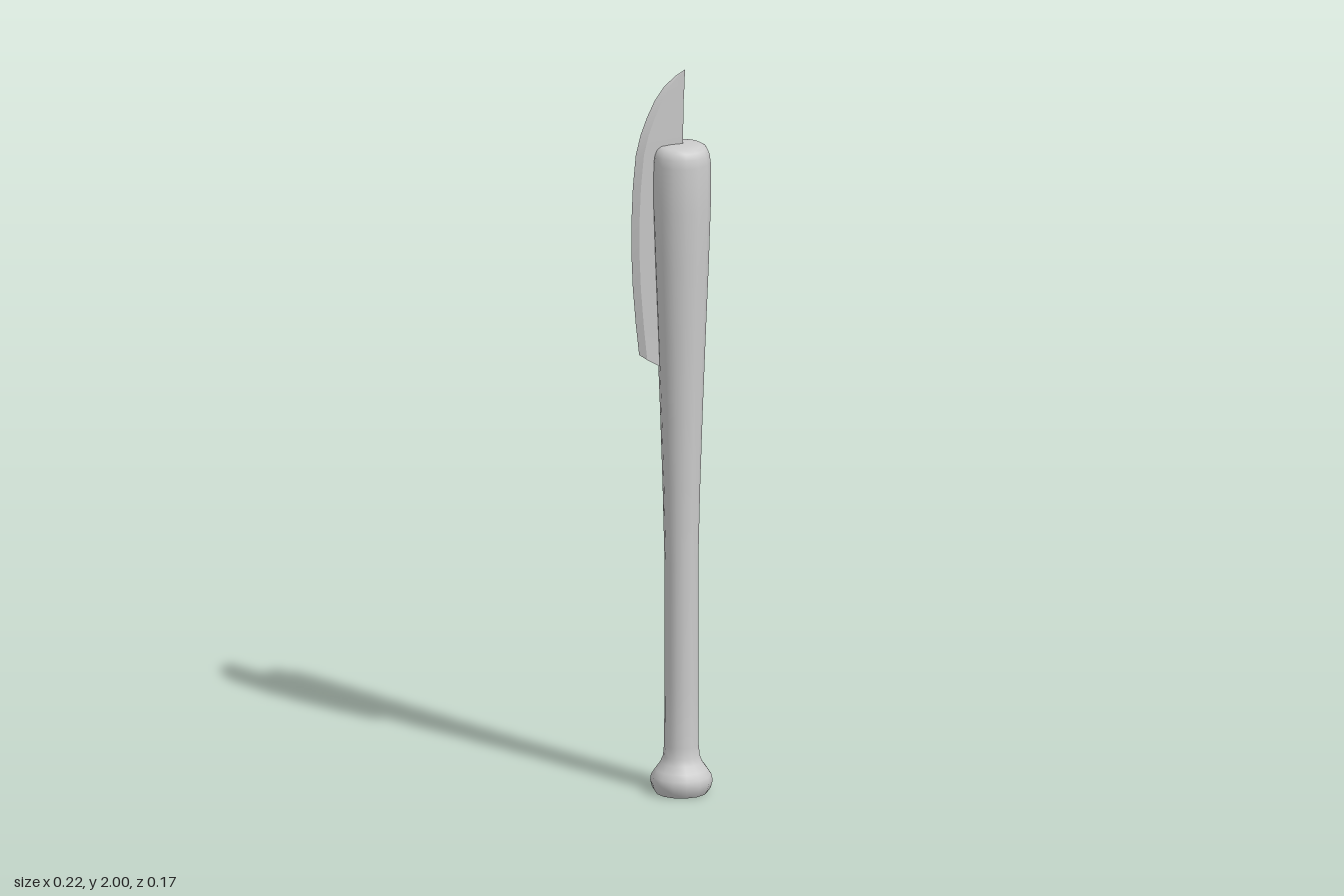
import * as THREE from 'three';
import { toCreasedNormals } from 'three/addons/utils/BufferGeometryUtils.js';

const material = new THREE.MeshStandardMaterial({ color: 0xcccccc });

// Turned wooden bat: knob, slim handle, barrel with rounded end.
function makeBat() {
  const profile = [
    [0, 0], [0.07, 0], [0.078, 0.012], [0.083, 0.03], [0.081, 0.047], [0.07, 0.064],
    [0.056, 0.083], [0.049, 0.1], [0.046, 0.13], [0.045, 0.3], [0.045, 0.64],
    [0.05, 0.85], [0.0565, 1.05], [0.064, 1.25], [0.073, 1.47], [0.078, 1.62],
    [0.078, 1.745], [0.075, 1.768], [0.068, 1.784], [0.056, 1.792], [0.03, 1.795], [0, 1.796],
  ].map(([r, y]) => new THREE.Vector2(r, y));
  const bat = new THREE.Mesh(toCreasedNormals(new THREE.LatheGeometry(profile, 14), 0.7), material);
  bat.name = 'bat';
  bat.position.x = 0.027;
  return bat;
}

// Curved blade: diamond-like sections with a sharp outer edge and a thin spine.
function makeBlade() {
  // edge x, edge y, spine x, spine y, half thickness
  const rows = [
    [-0.087, 1.215, 0.028, 1.146, 0.01],
    [-0.096, 1.3, 0.028, 1.27, 0.01],
    [-0.104, 1.4, 0.029, 1.4, 0.01],
    [-0.108, 1.5, 0.029, 1.5, 0.01],
    [-0.108, 1.58, 0.03, 1.58, 0.01],
    [-0.104, 1.68, 0.03, 1.68, 0.01],
    [-0.096, 1.77, 0.03, 1.77, 0.01],
    [-0.083, 1.825, 0.031, 1.825, 0.009],
    [-0.066, 1.872, 0.032, 1.872, 0.0075],
    [-0.045, 1.918, 0.033, 1.918, 0.0055],
    [-0.02, 1.955, 0.035, 1.955, 0.0035],
    [0.01, 1.983, 0.036, 1.983, 0.0018],
    [0.037, 2.0, 0.037, 2.0, 0],
  ];
  const positions = [];
  const index = [];
  for (const [ex, ey, sx, sy, t] of rows) {
    const inset = Math.min(0.02, (sx - ex) * 0.25);
    const k = sx > ex ? inset / (sx - ex) : 0;
    const rx = ex + inset;
    const ry = ey + (sy - ey) * k;
    const s = t * 0.3;
    positions.push(ex, ey, 0, rx, ry, t, sx, sy, s, sx, sy, -s, rx, ry, -t);
  }
  for (let i = 0; i < rows.length - 1; i++) {
    for (let j = 0; j < 5; j++) {
      const a = i * 5 + j;
      const b = i * 5 + (j + 1) % 5;
      index.push(a, b, b + 5, a, b + 5, a + 5);
    }
  }
  // Bottom cap
  for (let j = 1; j < 4; j++) index.push(0, j + 1, j);
  const geometry = new THREE.BufferGeometry();
  geometry.setAttribute('position', new THREE.Float32BufferAttribute(positions, 3));
  geometry.setIndex(index);
  const blade = new THREE.Mesh(toCreasedNormals(geometry, 0.35), material);
  blade.name = 'blade';
  return blade;
}

export function createModel() {
  const group = new THREE.Group();
  group.name = 'bladedBat';
  group.add(makeBat(), makeBlade());
  return group;
}
